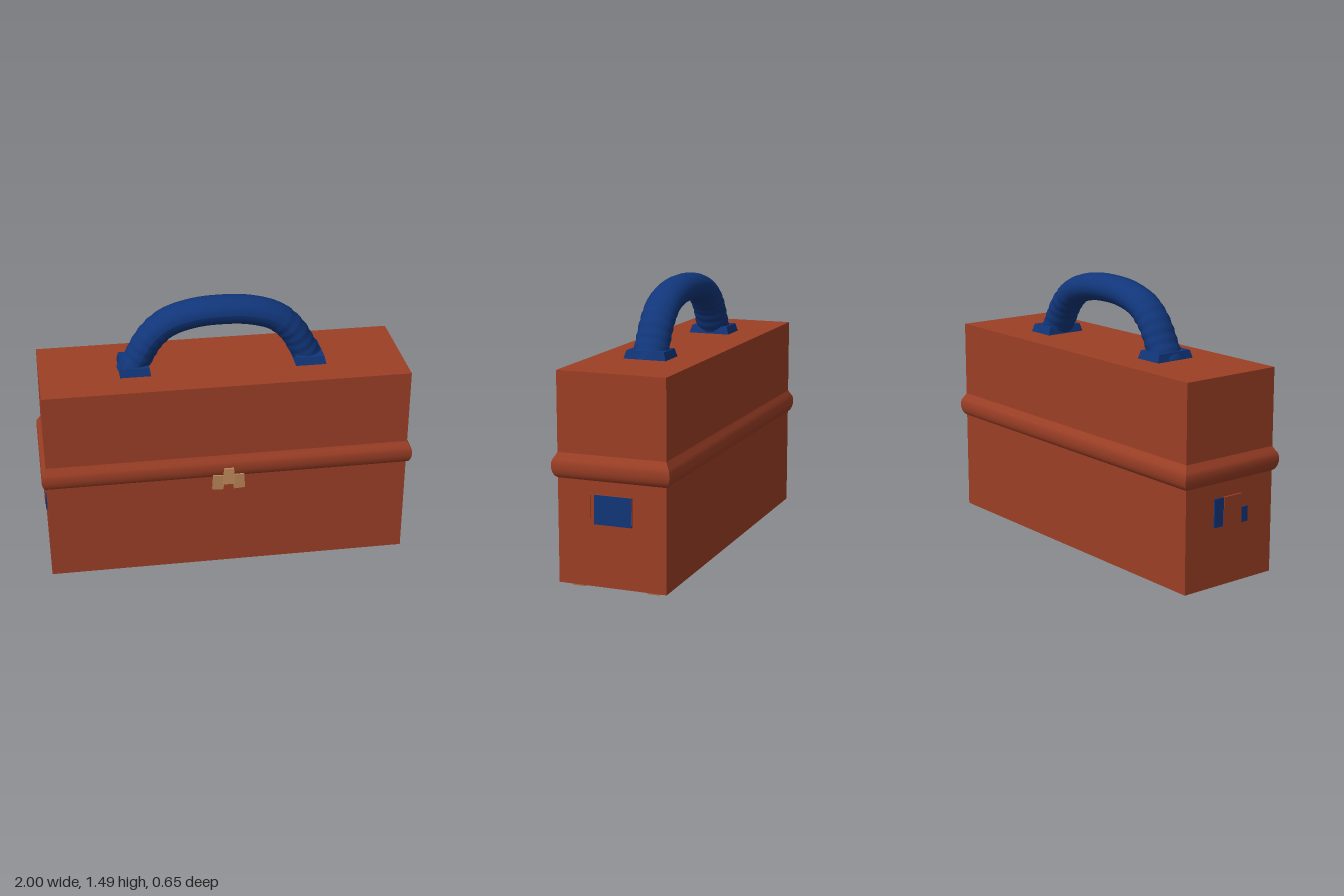
import * as THREE from 'three';

const paint = (name, color) => {
  const m = new THREE.MeshStandardMaterial({ color });
  m.name = name;
  return m;
};

export function createModel() {
  const root = new THREE.Group();
  root.name = 'lunchBox';
  const rust = paint('rustRed', 0x9c3f26);
  const blue = paint('navyBlue', 0x11367a);
  const tan = paint('tanMetal', 0xbd875a);
  const CZ = -0.01; // the case sits slightly behind centre

  const add = (name, geo, mat, x = 0, y = 0, z = 0, parent = root) => {
    const m = new THREE.Mesh(geo, mat);
    m.name = name;
    m.position.set(x, y, z);
    parent.add(m);
    return m;
  };
  const box = (w, h, d) => new THREE.BoxGeometry(w, h, d);

  // Box whose top (or bottom) face is scaled
  const taperedBox = (w, h, d, top, bottom = 1) => {
    const g = box(w, h, d), p = g.attributes.position;
    for (let i = 0; i < p.count; i++) {
      const s = p.getY(i) > 0 ? top : bottom;
      p.setX(i, p.getX(i) * s);
      p.setZ(i, p.getZ(i) * s);
    }
    g.computeVertexNormals();
    return g;
  };

  // Rounded band with mitred square corners: profile is [offset, y]
  const bandGeometry = (hx, hz, profile) => {
    const pos = [], idx = [];
    const corners = [[-1, 1], [1, 1], [1, -1], [-1, -1]];
    for (let s = 0; s < 4; s++) {
      const base = pos.length / 3;
      for (const [o, y] of profile)
        for (const [cx, cz] of [corners[s], corners[(s + 1) % 4]])
          pos.push(cx * (hx + o), y, cz * (hz + o));
      for (let i = 0; i < profile.length - 1; i++) {
        const a = base + i * 2;
        idx.push(a, a + 1, a + 3, a, a + 3, a + 2);
      }
    }
    const g = new THREE.BufferGeometry();
    g.setAttribute('position', new THREE.Float32BufferAttribute(pos, 3));
    g.setIndex(idx);
    g.computeVertexNormals();
    return g;
  };

  // Case and lid
  add('case', box(1.95, 0.58, 0.582), rust, 0, 0.315, CZ);
  add('lid', box(1.95, 0.505, 0.582), rust, 0, 0.8575, CZ);
  add('rim', bandGeometry(0.974, 0.29, [
    [0, 0.568], [0.012, 0.577], [0.021, 0.595], [0.026, 0.618],
    [0.026, 0.645], [0.021, 0.663], [0.009, 0.682], [0, 0.7],
  ]), rust, 0, 0, CZ);

  // Feet
  for (const x of [-0.89, 0.89])
    for (const z of [-0.21, 0.195])
      add('foot', taperedBox(0.085, 0.025, 0.08, 1, 0.8), tan, x, 0.0125, z);

  // Front latch: two hanging tabs and a tilted centre clasp
  const latch = new THREE.Group();
  latch.name = 'latch';
  root.add(latch);
  for (const s of [-1, 1]) {
    const tab = add('latchTab', box(0.06, 0.085, 0.014), tan, s * 0.056 - 0.005, 0.543, 0.298, latch);
    tab.rotation.z = s * 0.06;
  }
  const clasp = add('latchClasp', taperedBox(0.062, 0.09, 0.022, 0.85), tan, -0.005, 0.586, 0.313, latch);
  clasp.rotation.x = -0.06;

  // Carry handle: oval arched grip with faint ridges near both ends
  const handle = new THREE.Group();
  handle.name = 'handle';
  handle.position.z = CZ;
  root.add(handle);
  const half = [[0.495, 1.08], [0.445, 1.17], [0.38, 1.28], [0.29, 1.36], [0.15, 1.405]];
  const path = new THREE.CatmullRomCurve3([
    ...half.map(([x, y]) => new THREE.Vector3(-x, y, 0)),
    new THREE.Vector3(0, 1.416, 0),
    ...half.slice().reverse().map(([x, y]) => new THREE.Vector3(x, y, 0)),
  ]);
  const SEG = 96, RAD = 24;
  const grip = new THREE.TubeGeometry(path, SEG, 0.075, RAD);
  const p = grip.attributes.position, v = new THREE.Vector3();
  for (let i = 0; i < p.count; i++) {
    const t = Math.floor(i / (RAD + 1)) / SEG;
    const c = path.getPointAt(t);
    const ridge = Math.abs(t - 0.5) > 0.25 ? 0.025 * Math.sin(t * 150) : 0;
    v.fromBufferAttribute(p, i).sub(c).multiplyScalar(1 + ridge);
    v.z *= 1.23;
    v.add(c);
    p.setXYZ(i, v.x, v.y, v.z);
  }
  grip.computeVertexNormals();
  add('grip', grip, blue, 0, 0, 0, handle);
  for (const s of [-1, 1])
    add('handleBase', taperedBox(0.165, 0.045, 0.235, 0.88), blue, s * 0.47, 1.13, 0, handle);

  // Label plate on the left end, with a raised holder edge in front of it
  add('leftHolder', box(0.008, 0.152, 0.23), rust, 0.978, 0.425, -0.006);
  add('leftLabel', box(0.008, 0.15, 0.2), blue, 0.983, 0.425, -0.02);
  add('leftHolderEdge', box(0.014, 0.15, 0.008), rust, 0.98, 0.425, 0.105);

  // The right end has a raised cover with the label showing at both sides
  add('rightHolder', box(0.012, 0.152, 0.12), rust, -0.98, 0.415, 0.005);
  add('rightLabelBack', box(0.009, 0.15, 0.06), blue, -0.978, 0.415, -0.085);
  add('rightLabelFront', box(0.009, 0.08, 0.045), blue, -0.978, 0.375, 0.088);

  return root;
}
